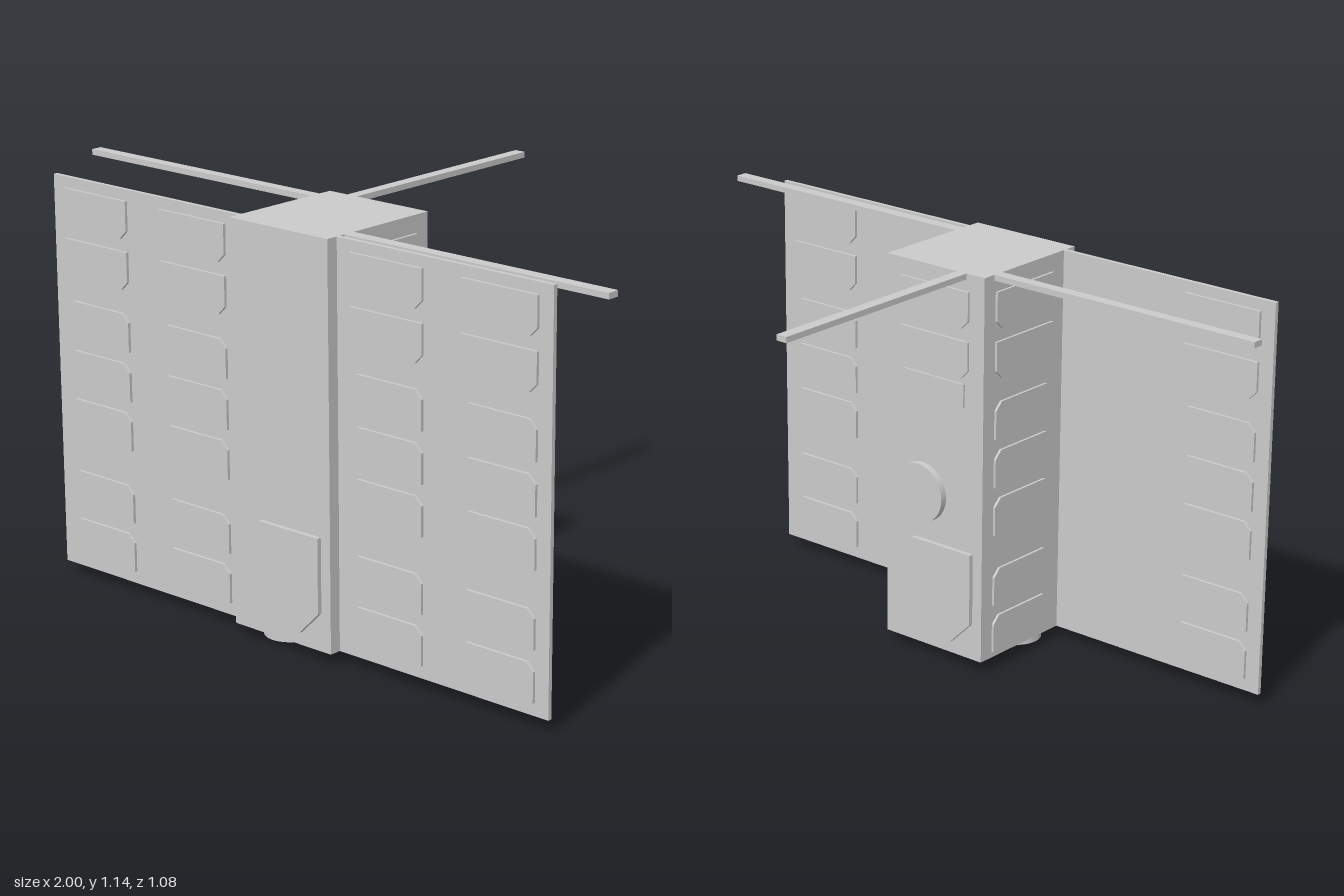
import * as THREE from 'three';
import { toCreasedNormals } from 'three/addons/utils/BufferGeometryUtils.js';

const material = new THREE.MeshStandardMaterial({ color: 0xcccccc });

export function createModel() {
  const model = new THREE.Group();
  const TOP = 1.137, BOTTOM = 0.034, SIDE = 0.17, BACK = 0.15, FRONT = 0.528;

  function add(name, geometry, x = 0, y = 0, z = 0, turn = 0) {
    const mesh = new THREE.Mesh(geometry, material);
    mesh.name = name;
    mesh.position.set(x, y, z);
    mesh.rotation.y = turn;
    model.add(mesh);
    return mesh;
  }

  // Box given by its limits on each axis
  function box(name, x0, x1, y0, y1, z0, z1) {
    return add(name, new THREE.BoxGeometry(x1 - x0, y1 - y0, z1 - z0),
      (x0 + x1) / 2, (y0 + y1) / 2, (z0 + z1) / 2);
  }

  // Thin plate rising along +z; cuts are the corner chamfers tl, tr, br, bl
  function plate(w, h, depth, [tl, tr, br, bl]) {
    const a = w / 2, b = h / 2, points = [];
    const corner = (x, y, c, first, second) => {
      if (!c) points.push(new THREE.Vector2(x, y));
      else points.push(new THREE.Vector2(x + first[0] * c, y + first[1] * c),
        new THREE.Vector2(x + second[0] * c, y + second[1] * c));
    };
    corner(-a, -b, bl, [0, 1], [1, 0]);
    corner(a, -b, br, [-1, 0], [0, 1]);
    corner(a, b, tr, [0, -1], [-1, 0]);
    corner(-a, b, tl, [1, 0], [0, -1]);
    return new THREE.ExtrudeGeometry(new THREE.Shape(points), { depth, bevelEnabled: false });
  }

  // Ring hanging down from y = 0
  function ring(outer, inner, height) {
    const shape = new THREE.Shape().absarc(0, 0, outer, 0, Math.PI * 2);
    shape.holes.push(new THREE.Path().absarc(0, 0, inner, 0, Math.PI * 2, true));
    const geometry = new THREE.ExtrudeGeometry(shape, { depth: height, bevelEnabled: false, curveSegments: 32 });
    return toCreasedNormals(geometry.rotateX(Math.PI / 2), 0.6);
  }

  // Main body and the two deployed wings
  box('body', -SIDE, SIDE, BOTTOM, TOP, BACK, FRONT);
  box('leftWing', SIDE, 0.86, BOTTOM, TOP, 0.482, 0.494);
  box('rightWing', -0.86, -SIDE, BOTTOM, TOP, 0.482, 0.494);

  // Solar cells: the top two have their lower corners cut, the rest their upper ones
  const rows = [1.036, 0.897, 0.726, 0.587, 0.449, 0.243, 0.104];
  const cut = 0.023;
  const cell = (row, depth) => plate(0.238, 0.105, depth, row < 2 ? [0, 0, cut, cut] : [cut, cut, 0, 0]);
  rows.forEach((y, row) => {
    for (const s of [-1, 1]) {
      add('sideCell', cell(row, 0.007), s * SIDE, y, 0.315, s * Math.PI / 2);
      add('wingCellInner', cell(row, 0.008), s * 0.336, y + 0.018, 0.494);
      add('wingCellOuter', cell(row, 0.008), s * 0.698, y + 0.018, 0.494);
      add('wingCellRear', cell(row, 0.008), s * 0.698, y + 0.018, 0.482, Math.PI);
    }
    if (row < 2) add('backCell', cell(row, 0.007), 0, y, BACK, Math.PI);
  });

  // Antenna patches on front and back
  const patch = plate(0.276, 0.275, 0.013, [0.068, 0, 0.068, 0]);
  add('frontPatch', patch, 0, 0.209, FRONT);
  add('backPatch', patch, 0, 0.209, BACK, Math.PI);

  // Other fittings on the back
  box('backPanel', -0.105, 0.105, 0.762, 0.828, BACK - 0.006, BACK);
  add('backDisc', new THREE.CylinderGeometry(0.085, 0.085, 0.02, 48).rotateX(Math.PI / 2), 0.043, 0.485, BACK - 0.01);

  // Antenna rods at the top
  box('leftRod', SIDE, 1, 1.121, TOP, 0.431, 0.465);
  box('rightRod', -1, -SIDE, 1.121, TOP, 0.19, 0.222);
  box('backRod', -0.108, -0.075, 1.121, TOP, -0.541, BACK);

  // Instruments underneath
  add('cameraRing', ring(0.072, 0.057, BOTTOM), -0.074, BOTTOM, 0.419);
  add('cameraLens', new THREE.CylinderGeometry(0.058, 0.058, 0.012, 40), -0.074, BOTTOM - 0.006, 0.419);
  add('sensorRing', ring(0.055, 0.035, 0.01), -0.1, BOTTOM, 0.236);
  add('sensorLens', new THREE.CylinderGeometry(0.02, 0.02, 0.008, 32), -0.1, BOTTOM - 0.004, 0.236);
  box('lowerPlate', 0.03, 0.135, 0.024, BOTTOM, 0.42, 0.49);
  const horn = new THREE.CylinderGeometry(0.047, 0.02, 0.024, 4).rotateY(Math.PI / 4);
  horn.computeVertexNormals();
  add('hornSensor', toCreasedNormals(horn, 0.3), 0.066, BOTTOM - 0.012, 0.255);

  return model;
}
